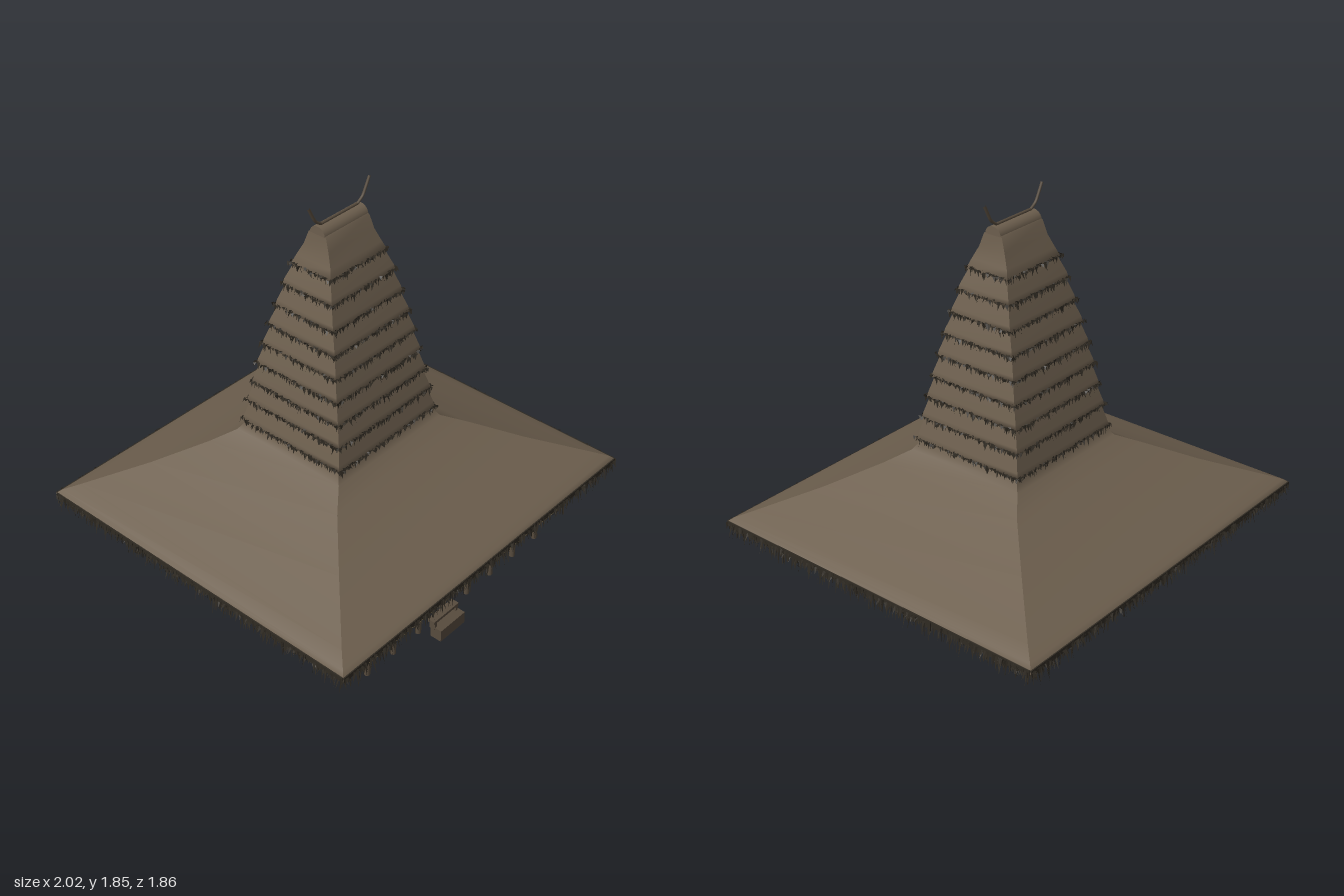
import * as THREE from 'three';
import { mergeGeometries } from 'three/addons/utils/BufferGeometryUtils.js';

const mat = (name, color, side = THREE.FrontSide) => {
  const m = new THREE.MeshStandardMaterial({ color, side });
  m.name = name;
  return m;
};

let seed = 7;
const rnd = () => (seed = (seed * 16807) % 2147483647) / 2147483647;

const box = (w, h, d, x, y, z) => new THREE.BoxGeometry(w, h, d).translate(x, y, z);
const pole = (r, len, axis, x, y, z, n = 8) => {
  const g = new THREE.CylinderGeometry(r, r, len, n);
  if (axis === 'x') g.rotateZ(Math.PI / 2);
  if (axis === 'z') g.rotateX(Math.PI / 2);
  return g.translate(x, y, z);
};

// Four-sided shell through rings of [halfX, halfZ, y], smooth up each side, sharp at the hips
function loft(rings, inward = false) {
  const sides = [];
  for (let s = 0; s < 4; s++) {
    const pos = [], idx = [];
    const a = [[-1, 1], [1, 1], [1, -1], [-1, -1]][s];
    const b = [[1, 1], [1, -1], [-1, -1], [-1, 1]][s];
    rings.forEach(([hx, hz, y], i) => {
      pos.push(a[0] * hx, y, a[1] * hz, b[0] * hx, y, b[1] * hz);
      if (i === 0) return;
      const k = i * 2 - 2;
      if (inward) idx.push(k, k + 3, k + 1, k, k + 2, k + 3);
      else idx.push(k, k + 1, k + 3, k, k + 3, k + 2);
    });
    const g = new THREE.BufferGeometry();
    g.setAttribute('position', new THREE.Float32BufferAttribute(pos, 3));
    g.setIndex(idx);
    g.computeVertexNormals();
    sides.push(g);
  }
  return mergeGeometries(sides);
}

// Ragged straw blades hanging around a rectangle
function fringe(hx, hz, y, pitch, minLen, maxLen, spread, width) {
  const pos = [];
  for (let s = 0; s < 4; s++) {
    const alongX = s % 2 === 0, sign = s < 2 ? 1 : -1;
    const half = alongX ? hx : hz, off = alongX ? hz : hx;
    const put = (t, yy, o) => alongX ? pos.push(t, yy, sign * o) : pos.push(sign * o, yy, t);
    for (let t = -half; t <= half; t += pitch) {
      const o = off + (rnd() - 0.6) * spread, turn = rnd() * 2.4 - 1.2;
      const dx = Math.cos(turn) * width / 2, dz = Math.sin(turn) * width / 2;
      const len = minLen + (maxLen - minLen) * rnd() ** 2;
      put(t - dx, y + rnd() * 0.008, o - dz);
      put(t + dx, y + rnd() * 0.008, o + dz);
      put(t + (rnd() - 0.5) * 0.02, y - len, o + (rnd() - 0.3) * spread);
    }
  }
  const g = new THREE.BufferGeometry();
  g.setAttribute('position', new THREE.Float32BufferAttribute(pos, 3));
  g.computeVertexNormals();
  return g;
}

export function createModel() {
  const thatch = mat('thatch', 0x6d5f4e);
  const straw = mat('dark straw', 0x2f2a22, THREE.DoubleSide);
  const underside = mat('thatch underside', 0x463d32);
  const wood = mat('wood', 0x574b3d);
  const bamboo = mat('bamboo', 0x8c7b55);
  const panel = mat('wall panel', 0x94835f);
  const dark = mat('dark wood', 0x3a3127);
  const model = new THREE.Group();
  const add = (name, geos, material) => {
    const mesh = new THREE.Mesh(Array.isArray(geos) ? mergeGeometries(geos) : geos, material);
    mesh.name = name;
    model.add(mesh);
  };

  // Wide lower roof, its lining and purlins
  add('lowerRoof', loft([[0.985, 0.905, 0.295], [0.985, 0.905, 0.31], [0.965, 0.885, 0.328], [0.9, 0.82, 0.358],
    [0.66, 0.59, 0.468], [0.46, 0.4, 0.575], [0.355, 0.315, 0.63], [0.335, 0.295, 0.66], [0.32, 0.28, 0.71]]), thatch);
  add('roofLining', loft([[0.985, 0.905, 0.295], [0.9, 0.82, 0.325], [0.66, 0.57, 0.44], [0.34, 0.3, 0.6], [0.01, 0.01, 0.61]], true), underside);
  const purlins = [];
  for (const t of [0.1, 0.3, 0.5, 0.7]) {
    const hx = 0.97 - 0.6 * t, hz = 0.89 - 0.55 * t, y = 0.292 + 0.28 * t;
    for (const s of [-1, 1]) purlins.push(pole(0.007, hx * 2, 'x', 0, y, s * hz, 6), pole(0.007, hz * 2, 'z', s * hx, y, 0, 6));
  }
  add('purlins', purlins, dark);

  // Shaggy eave
  const eave = [];
  for (const s of [-1, 1]) eave.push(box(1.97, 0.025, 0.02, 0, 0.3, s * 0.898), box(0.02, 0.025, 1.8, s * 0.978, 0.3, 0));
  add('eaveEdge', eave, straw);
  add('eaveFringe', [
    fringe(0.985, 0.905, 0.305, 0.0045, 0.03, 0.09, 0.025, 0.012),
    fringe(0.965, 0.885, 0.3, 0.005, 0.03, 0.085, 0.04, 0.012),
    fringe(0.98, 0.9, 0.3, 0.006, 0.02, 0.05, 0.03, 0.014)], straw);

  // Stepped tower: [halfX, halfZ, y] at the foot of each tier
  const tiers = [[0.335, 0.3, 0.68], [0.318, 0.283, 0.79], [0.302, 0.263, 0.895], [0.288, 0.243, 1.0], [0.27, 0.222, 1.105],
    [0.252, 0.199, 1.21], [0.232, 0.172, 1.315], [0.21, 0.146, 1.425], [0.185, 0.117, 1.53]];
  const shells = [], fringes = [];
  tiers.forEach(([hx, hz, y], i) => {
    const n = tiers[i + 1];
    shells.push(n
      ? loft([[hx - 0.02, hz - 0.02, y], [hx, hz, y], [hx - 0.006, hz - 0.007, y + 0.03], [n[0] - 0.014, n[1] - 0.014, n[2] + 0.015]])
      : loft([[hx - 0.02, hz - 0.02, y], [hx, hz, y], [0.167, 0.1, 1.575], [0.148, 0.072, 1.635], [0.14, 0.05, 1.7], [0.138, 0.02, 1.72]]));
    fringes.push(fringe(hx + 0.006, hz + 0.006, y + 0.008, 0.006, 0.008, 0.035, 0.016, 0.015));
  });
  add('towerTiers', shells, thatch);
  add('tierFringes', fringes, straw);

  // Ridge roll and horned finial
  add('ridgeRoll', pole(0.044, 0.28, 'x', 0, 1.697, 0, 20), thatch);
  const horns = [new THREE.TubeGeometry(new THREE.LineCurve3(new THREE.Vector3(-0.12, 1.744, 0), new THREE.Vector3(0.12, 1.744, 0)), 1, 0.007, 6)];
  for (const s of [-1, 1]) {
    const pts = [[0.115, 1.743], [0.15, 1.768], [0.172, 1.805], [0.195, 1.85]].map(([x, y]) => new THREE.Vector3(s * x, y, 0));
    horns.push(new THREE.TubeGeometry(new THREE.CatmullRomCurve3(pts), 10, 0.007, 6));
  }
  add('ridgeHorns', horns, wood);

  // Stilts with floor beams
  const stilts = [], beams = [];
  for (let i = 0; i < 8; i++) {
    const x = -0.665 + i * 0.175;
    for (let j = 0; j < 9; j++) {
      const z = 0.76 - j * 0.1745;
      stilts.push(pole(0.014, 0.1, 'y', x, 0.05, z, 10), pole(0.009, 0.018, 'y', x, 0.106, z, 8));
    }
    beams.push(box(0.012, 0.01, 1.43, x, 0.111, 0.077));
  }
  add('stilts', stilts, wood);
  add('floorBeams', beams, dark);

  // Floor of bamboo poles
  const floor = [];
  for (let z = 0.797; z > -0.645; z -= 0.0125) floor.push(pole(0.0064, 1.39, 'x', 0, 0.121, z, 6));
  add('bambooFloor', floor, bamboo);

  // Side walls: bamboo over a dark backing
  const poles = [], backing = [], frames = [];
  for (const s of [-1, 1]) {
    backing.push(box(0.008, 0.31, 1.02, s * 0.635, 0.28, -0.075));
    for (let z = 0.425; z > -0.585; z -= 0.0205) {
      const h = 0.3 + rnd() * 0.015;
      poles.push(pole(0.0085, h, 'y', s * 0.643, 0.125 + h / 2, z, 7));
    }
    for (const z of [0.435, -0.585]) frames.push(box(0.024, 0.33, 0.024, s * 0.643, 0.287, z));
  }
  // Front wall with a doorway
  backing.push(box(1.27, 0.3, 0.008, 0, 0.275, 0.427));
  for (let x = -0.625; x < 0.63; x += 0.0215) {
    if (x > -0.29 && x < -0.14) continue;
    poles.push(pole(0.0085, 0.3, 'y', x, 0.275, 0.437, 7));
  }
  frames.push(box(0.02, 0.3, 0.02, -0.29, 0.275, 0.44), box(0.02, 0.3, 0.02, -0.14, 0.275, 0.44));
  add('wallBacking', backing, dark);
  add('wallBamboo', poles, bamboo);

  // Back wall of wide panels with battens
  const panels = [];
  for (let i = 0; i < 8; i++) {
    const x = -0.56 + i * 0.16;
    panels.push(box(0.154, 0.32, 0.012, x, 0.285, -0.58));
    if (i) frames.push(box(0.008, 0.32, 0.016, x - 0.08, 0.285, -0.58));
  }
  add('backPanels', panels, panel);
  add('wallFrames', frames, wood);

  // Barred windows on the front wall
  const bars = [], shutters = [];
  for (const x of [-0.5, 0.5]) {
    shutters.push(box(0.2, 0.12, 0.008, x, 0.24, 0.447));
    for (let k = 0; k < 5; k++) bars.push(pole(0.005, 0.2, 'x', x, 0.195 + k * 0.022, 0.455, 6));
  }
  add('windows', shutters, dark);
  add('windowBars', bars, panel);

  // Veranda posts, rails and log seats
  const veranda = [];
  for (const x of [-0.675, -0.225, 0.225, 0.675]) veranda.push(box(0.022, 0.25, 0.022, x, 0.245, 0.782));
  for (const [x, w] of [[-0.465, 0.27], [0.255, 0.69]]) veranda.push(pole(0.019, w, 'x', x, 0.15, 0.753, 12));
  for (const s of [-1, 1]) veranda.push(pole(0.007, 0.34, 'z', s * 0.675, 0.2, 0.61, 6));
  add('veranda', veranda, wood);

  // Entry steps
  add('steps', [box(0.17, 0.062, 0.06, -0.21, 0.031, 0.845), box(0.175, 0.014, 0.04, -0.215, 0.092, 0.82),
    box(0.014, 0.04, 0.03, -0.29, 0.07, 0.825), box(0.014, 0.04, 0.03, -0.14, 0.07, 0.825)], wood);

  return model;
}
